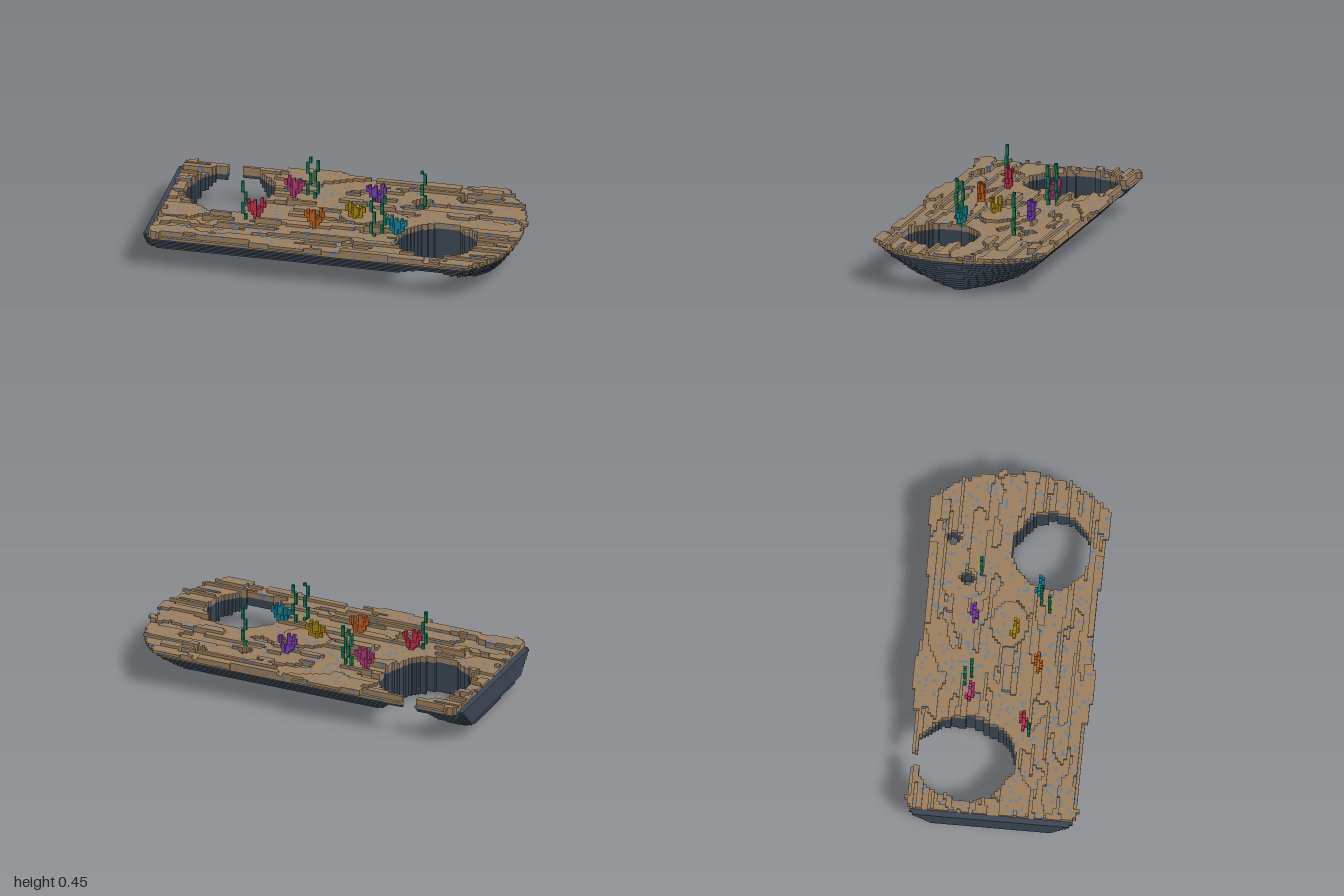
import * as THREE from 'three';

const S = 0.016;                 // voxel size
const HX = 62, HZ = 31, HY = 29; // grid extents

// colour of each voxel part
const COLORS = {
  hull: 0x3b4552, sand: 0x9a7f5e, pebbles: 0x6b7b90, kelp: 0x128058, kelpDark: 0x0d6a4a,
  coralPink: 0xb23a74, coralPurple: 0x7a3fb5, coralRed: 0xc0304a,
  coralOrange: 0xc0601c, coralGold: 0xa8850f, coralTeal: 0x10859c,
};

// hull half width per layer
const HALF_WIDTH = [.095, .18, .23, .27, .30, .325, .348, .37, .39, .41, .425, .44, .455, .47, .49, .49];

// seeded hash and value noise
function hash(a, b) {
  let h = Math.imul(a + 901, 374761393) ^ Math.imul(b + 577, 668265263);
  h = Math.imul(h ^ (h >>> 13), 1274126177);
  return ((h ^ (h >>> 16)) >>> 0) / 4294967296;
}
function noise(x, z) {
  const i = Math.floor(x), k = Math.floor(z), u = x - i, v = z - k;
  const mix = THREE.MathUtils.lerp;
  return mix(mix(hash(i, k), hash(i + 1, k), u), mix(hash(i, k + 1), hash(i + 1, k + 1), u), v);
}

// openings through the whole hull: x, z, radius x, radius z
const HOLES = [[-.66, -.165, .245, .27], [.56, .185, .222, .217]];
const SMALL_HOLES = [[.37, -.25], [.59, -.345]];
function inHole(x, z, i, k) {
  for (const [cx, cz, rx, rz] of HOLES) {
    const wobble = 0.94 + 0.1 * noise(i / 4, k / 4);
    if (Math.hypot((x - cx) / rx, (z - cz) / rz) < wobble) return true;
  }
  if (x > -.73 && x < -.65 && z < -.4) return true; // breach in the rim
  return SMALL_HOLES.some(([cx, cz]) => Math.abs(x - cx) + Math.abs(z - cz) < .05);
}

// plan outline of the sand crust, wider at its ledges
function deckEdge(x) {
  if (x < -.9) return .47;
  if (x < -.4) return .445;
  if (x > -.3 && x < -.1) return .49;
  if (x < 0) return .472;
  if (x < .36) return .456;
  if (x > .65 && x < .82) return .49;
  return .472;
}

// bow and stern positions and rounding for a layer
function insideHull(x, z, j) {
  const y = Math.min((j + .5) * S, .23);
  const bow = .82 + .18 * Math.pow(y / .23, .85);
  let stern = -.93 - .07 * Math.min(1, y / .1);
  if (j >= 13) stern = -.97;
  if (x > bow || x < stern) return false;
  const u = Math.max(0, (x - (bow - .25)) / .25);
  const v = Math.max(0, (stern + .07 - x) / .07);
  let w = HALF_WIDTH[j];
  if (j >= 13) w = Math.min(deckEdge(x), w);
  w *= Math.sqrt(1 - u * u) * (1 - .1 * v * v);
  return Math.abs(z) < w;
}

// number of layers at a deck position: streaky ledges, a raised rim and mounds
function deckHeight(x, z, i, k) {
  let h = 13 + (noise(i / 11, k / 2.2) > .36 ? 1 : 0);
  if (noise(i / 13 + 40, k / 2 + 9) > .7) h = 15;
  if (Math.abs(z) > .42) h = Math.max(h, 14 + (noise(i / 9, 70) > .35 ? 1 : 0));
  if (Math.abs(z) > deckEdge(x) - .04 && deckEdge(x) > .48) h = 15;
  if (Math.hypot((x - .12) / .13, z / .1) < 1) h = 15;
  if (x > .68 && x < .8 && Math.abs(z + .4) < .02) h = 16;
  if (x > -.27 && x < -.12 && Math.abs(z - .02) < .025) h = 16;
  return h;
}

function fillShip(put) {
  for (let i = -HX; i <= HX; i++) for (let k = -HZ; k <= HZ; k++) {
    const x = i * S, z = k * S;
    if (inHole(x, z, i, k)) continue;
    const top = deckHeight(x, z, i, k);
    for (let j = 0; j < top; j++) {
      if (!insideHull(x, z, j)) continue;
      const crust = j >= 12 && x > -.97;
      put(i, j, k, !crust ? 'hull' : hash(i * 3 + j, k * 7) < .09 ? 'pebbles' : 'sand');
    }
  }
}

// kelp strand: a single column that sways by one voxel
function addKelp(put, x, z, phase) {
  const i = Math.round(x / S), k = Math.round(z / S);
  for (let j = 13; j < 28; j++) {
    const sway = Math.floor((j + phase) / 4) % 2;
    put(i + sway, j, k, j % 3 ? 'kelp' : 'kelpDark');
  }
}

// branching coral: short trunk, crossing arms and forked tips
const CORAL = [
  [[0, 0], [1, 0], [0, 1]],
  [[-1, 0], [0, 0], [1, 0], [0, 1], [1, -1]],
  [[-2, 0], [-1, 0], [0, 0], [1, 0], [2, 0], [0, 1], [1, -1]],
  [[-2, 0], [-1, 1], [1, -1], [2, 0], [0, 1]],
  [[-3, 0], [-2, 0], [0, 1], [-1, 1], [2, -1], [3, 0]],
  [[-3, 0], [-1, 1], [0, 1], [2, -1], [3, 0]],
  [[-2, 1], [0, 1], [2, -1]],
];
function addCoral(put, name, x, z, flip, lift) {
  const i = Math.round(x / S), k = Math.round(z / S);
  CORAL.forEach((row, j) => row.forEach(([a, c]) => put(i + a * flip, 13 + lift + j, k + c, name)));
}

// the six faces of a voxel: outward direction and its two in-plane axes
const FACES = [];
for (let a = 0; a < 3; a++) for (const s of [1, -1]) {
  const n = [0, 0, 0], u = [0, 0, 0], v = [0, 0, 0];
  n[a] = s; u[(a + 1) % 3] = s; v[(a + 2) % 3] = 1;
  FACES.push({ n, u, v });
}

// exposed faces only, gathered per part
function buildMeshes(cells, group) {
  const key = (i, j, k) => ((i + 80) * 64 + j + 2) * 128 + k + 50;
  const filled = new Set(cells.map((c) => key(c[0], c[1], c[2])));
  const parts = {};
  for (const [i, j, k, name] of cells) {
    const part = (parts[name] ??= { pos: [], nor: [] });
    const centre = [i * S, (j + .5) * S, k * S];
    for (const { n, u, v } of FACES) {
      if (filled.has(key(i + n[0], j + n[1], k + n[2]))) continue;
      for (const [a, b] of [[-1, -1], [1, -1], [1, 1], [-1, -1], [1, 1], [-1, 1]]) {
        for (let d = 0; d < 3; d++) part.pos.push(centre[d] + (n[d] + a * u[d] + b * v[d]) * S / 2);
        part.nor.push(...n);
      }
    }
  }
  for (const [name, { pos, nor }] of Object.entries(parts)) {
    const geo = new THREE.BufferGeometry();
    geo.setAttribute('position', new THREE.Float32BufferAttribute(pos, 3));
    geo.setAttribute('normal', new THREE.Float32BufferAttribute(nor, 3));
    const mesh = new THREE.Mesh(geo, new THREE.MeshStandardMaterial({ color: COLORS[name] }));
    mesh.name = name;
    group.add(mesh);
  }
}

export function createModel() {
  const group = new THREE.Group();
  group.name = 'sunkenHull';
  const map = new Map();
  const put = (i, j, k, name) => {
    const id = `${i},${j},${k}`;
    if (j < HY && !map.has(id)) map.set(id, [i, j, k, name]);
  };

  fillShip(put);

  [[-.512, .155, 0], [-.235, -.205, 2], [-.192, -.17, 4], [.208, .205, 1], [.256, .155, 3], [.395, -.175, 5]]
    .forEach(([x, z, phase]) => addKelp(put, x, z, phase));

  addCoral(put, 'coralRed', -.45, .125, 1, 1);
  addCoral(put, 'coralPink', -.31, -.18, -1, 1);
  addCoral(put, 'coralOrange', -.105, .18, 1, 1);
  addCoral(put, 'coralGold', .08, .03, -1, 0);
  addCoral(put, 'coralPurple', .15, -.19, 1, 1);
  addCoral(put, 'coralTeal', .335, .145, -1, 0);

  buildMeshes([...map.values()], group);
  return group;
}
